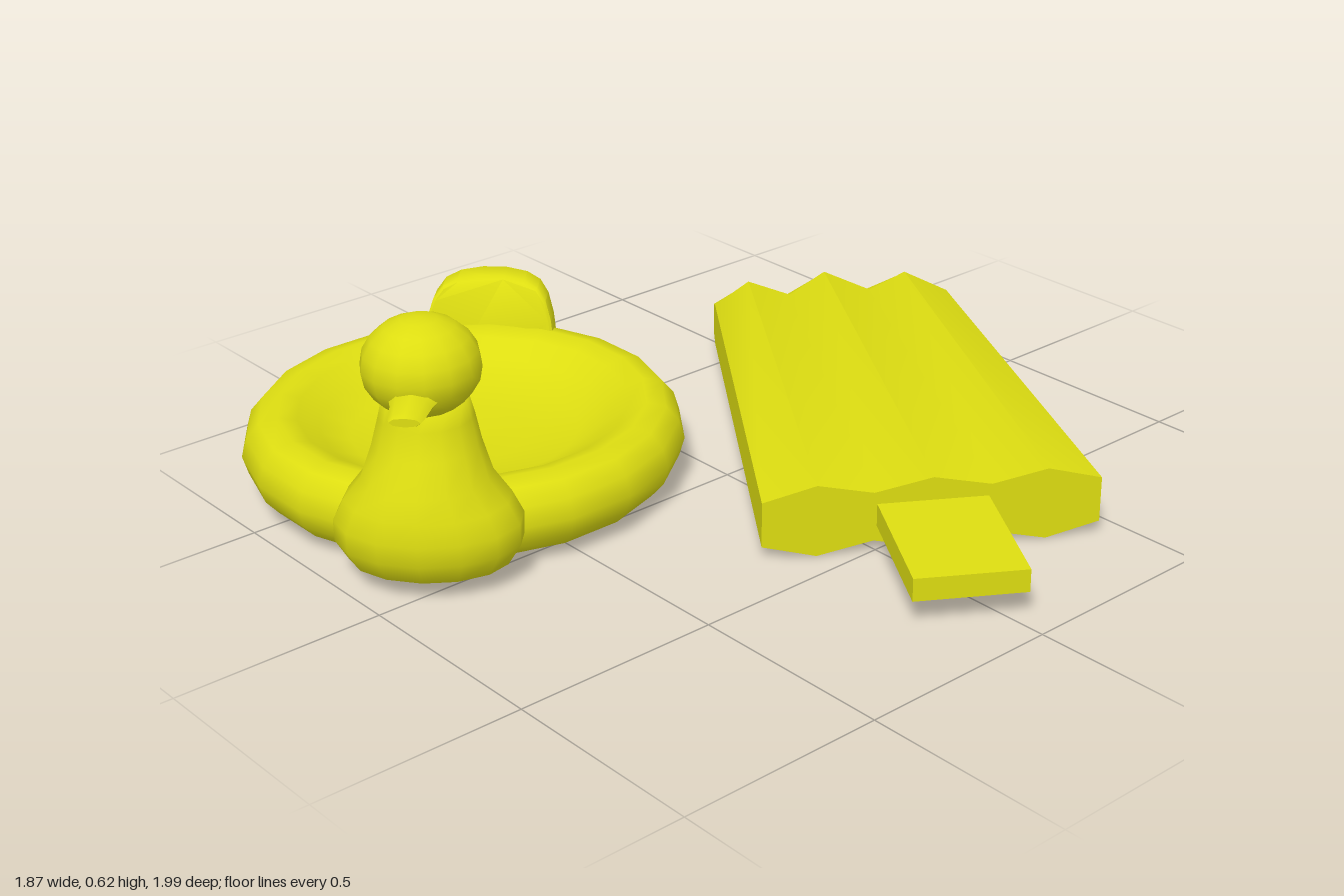
import * as THREE from 'three';
import { toCreasedNormals } from 'three/addons/utils/BufferGeometryUtils.js';

const material = new THREE.MeshStandardMaterial({ color: 0xdddd11, side: THREE.DoubleSide });

function part(name, geometry, parent) {
  const mesh = new THREE.Mesh(geometry, material);
  mesh.name = name;
  parent.add(mesh);
  return mesh;
}

// Skin a stack of equal-sized loops [x, y, z], closing both ends with strips
function loft(loops, crease) {
  const n = loops[0].length, index = [];
  const quad = (a, b, c, d) => index.push(a, b, c, a, c, d);
  for (let i = 0; i < loops.length - 1; i++)
    for (let j = 0; j < n; j++) {
      const k = (j + 1) % n;
      quad(i * n + j, i * n + k, (i + 1) * n + k, (i + 1) * n + j);
    }
  const top = (loops.length - 1) * n;
  for (let k = 0; k < n / 2 - 1; k++) {
    quad(top + k, top + k + 1, top + n - 2 - k, top + n - 1 - k);
    quad(n - 1 - k, n - 2 - k, k + 1, k);
  }
  const g = new THREE.BufferGeometry();
  g.setAttribute('position', new THREE.Float32BufferAttribute(loops.flat(2), 3));
  g.setIndex(index);
  g.computeVertexNormals();
  return crease ? toCreasedNormals(g, crease) : g;
}

const around = (n, f) => Array.from({ length: n }, (_, i) => f((i / n) * Math.PI * 2));

function createDuckPool() {
  const duck = new THREE.Group();
  duck.name = 'duckPool';

  // Inflated ring with a thin sunken floor
  const profile = [
    [0, 0.085], [0.2, 0.08], [0.31, 0.06], [0.37, 0.03], [0.43, 0.018], [0.48, 0.03], [0.51, 0.065],
    [0.523, 0.11], [0.51, 0.155], [0.48, 0.19], [0.435, 0.2], [0.39, 0.187], [0.34, 0.15],
    [0.27, 0.12], [0.15, 0.105], [0, 0.1],
  ].map(([r, y]) => new THREE.Vector2(r, y));
  part('poolRing', new THREE.LatheGeometry(profile, 20), duck).rotation.y = -Math.PI / 4 + Math.PI / 20;

  // Chest and neck: height, centre z, half depth, half width
  const sections = [
    [0.025, 0.5, 0.08, 0.12], [0.05, 0.5, 0.125, 0.18], [0.1, 0.5, 0.15, 0.21], [0.15, 0.5, 0.155, 0.21],
    [0.2, 0.5, 0.145, 0.185], [0.25, 0.495, 0.135, 0.145], [0.32, 0.48, 0.115, 0.12],
    [0.38, 0.468, 0.1, 0.105], [0.44, 0.47, 0.09, 0.09],
  ];
  part('chestAndNeck', loft(sections.map(([y, z, d, w]) =>
    around(14, (t) => [w * Math.sin(t), y, z + d * Math.cos(t)]))), duck);

  const head = part('head', new THREE.SphereGeometry(0.132, 14, 10), duck);
  head.scale.y = 0.84;
  head.position.set(0, 0.51, 0.495);

  // Flat bill: z, half width, half height
  const bill = [[0.57, 0.06, 0.03], [0.63, 0.045, 0.024], [0.69, 0.038, 0.016], [0.706, 0.034, 0.01]];
  part('bill', loft(bill.map(([z, w, h]) =>
    around(8, (t) => [w * Math.cos(t), 0.472 + h * Math.sin(t), z])), 0.9), duck);

  // Tail: a rounded tab that leans out and follows the ring
  const half = [[0.17, 0.14], [0.157, 0.22], [0.142, 0.265], [0.12, 0.292], [0.085, 0.305], [0.03, 0.31]];
  const outline = [...half, ...half.map(([x, y]) => [-x, y]).reverse(), [-0.06, 0.14], [0.06, 0.14]];
  const tail = new THREE.ExtrudeGeometry(new THREE.Shape(outline.map(([x, y]) => new THREE.Vector2(x, y))),
    { depth: 0.06, bevelEnabled: true, bevelSize: 0.006, bevelThickness: 0.01, bevelSegments: 1, bevelOffset: -0.006 });
  const p = tail.attributes.position;
  for (let i = 0; i < p.count; i++)
    p.setZ(i, p.getZ(i) - 0.505 - 0.3 * (p.getY(i) - 0.14) + 2 * p.getX(i) ** 2);
  part('tail', toCreasedNormals(tail, 0.7), duck);

  duck.position.set(-0.42, 0, 0.46);
  duck.rotation.y = Math.PI / 4;
  return duck;
}

function createIcePopFloat() {
  const pop = new THREE.Group();
  pop.name = 'icePopFloat';

  // Cross-section of three joined lobes; tip gives the far end of each column
  const xs = [-0.39, -0.265, -0.135, 0, 0.135, 0.265, 0.39];
  const rise = [0.055, 0.088, 0.06, 0.088, 0.06, 0.088, 0.055];
  const tip = [1.175, 1.24, 1.2, 1.275, 1.2, 1.24, 1.175];
  const section = (taper, height, z) => {
    const side = (s) => xs.map((x, i) => [x * taper, 0.088 + s * height * rise[i], z(i)]);
    return [...side(-1), ...side(1).reverse()];
  };
  part('lobedBody', loft([
    section(0.79, 0.7, (i) => -tip[i]),
    section(0.8, 1, (i) => -tip[i] + 0.045),
    section(1, 1, () => 0),
  ], 0.6), pop);

  // Stick
  const stick = part('stick', new THREE.BoxGeometry(0.257, 0.055, 0.4), pop);
  stick.position.set(0, 0.092, 0.145);

  pop.position.set(0.575, 0, -0.105);
  pop.rotation.y = 1.007;
  return pop;
}

export function createModel() {
  const model = new THREE.Group();
  model.name = 'poolFloats';
  model.add(createDuckPool(), createIcePopFloat());
  return model;
}
